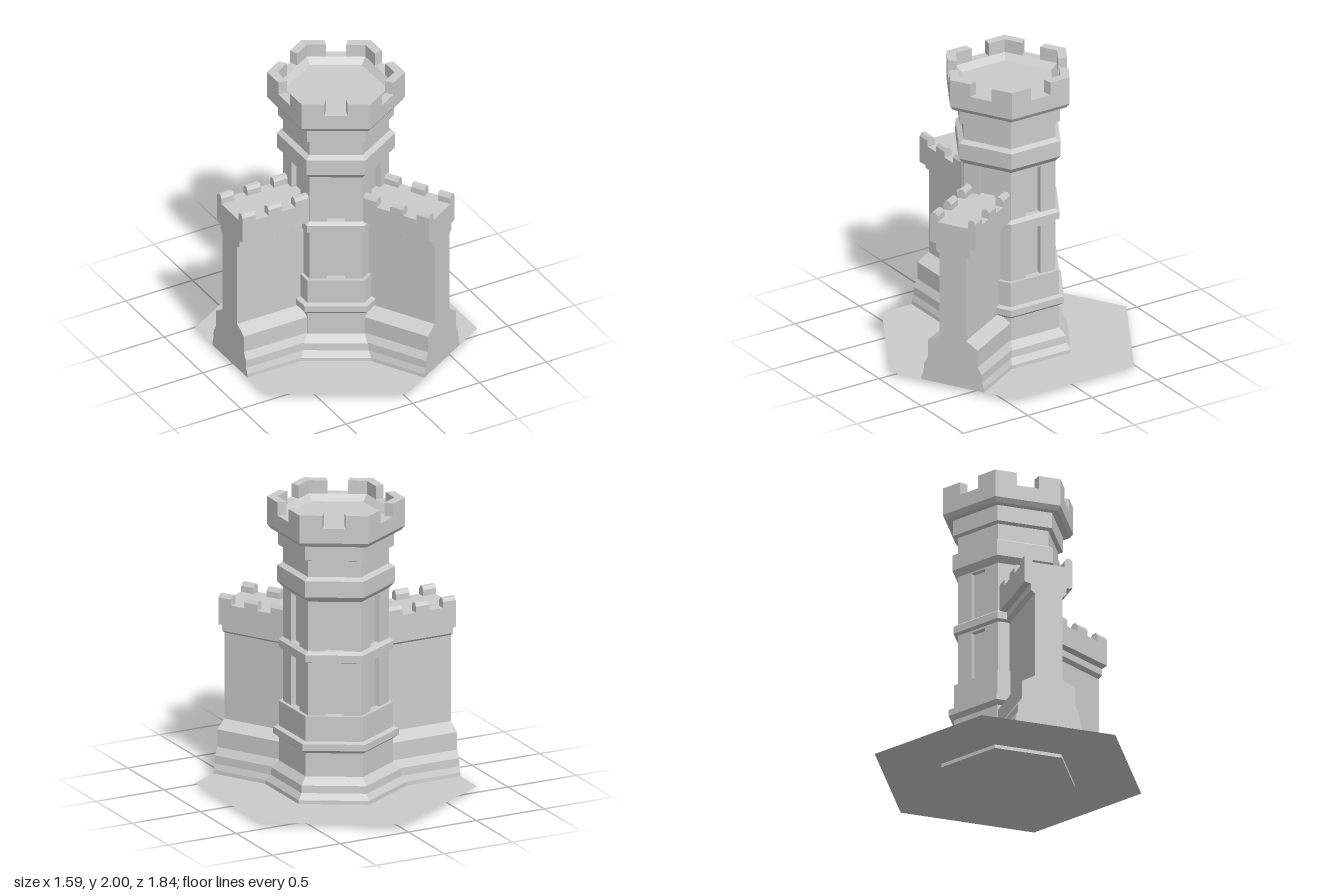
import * as THREE from 'three';

const stone = new THREE.MeshStandardMaterial({ color: 0xcccccc, flatShading: true });
const sheet = new THREE.MeshStandardMaterial({ color: 0xcccccc, flatShading: true, side: THREE.DoubleSide });
const COS30 = Math.cos(Math.PI / 6);

function add(parent, name, geometry, material = stone) {
  const mesh = new THREE.Mesh(geometry, material);
  mesh.name = name;
  parent.add(mesh);
  return mesh;
}

function extrude(points, depth) {
  const shape = new THREE.Shape(points.map(([x, y]) => new THREE.Vector2(x, y)));
  return new THREE.ExtrudeGeometry(shape, { depth, bevelEnabled: false });
}

// Block wrapping one hexagon corner, stopping at the opening in each face.
// outer, inner: corner radii; gapOuter, gapInner: half widths of the opening
function cornerBlock(outer, inner, gapOuter, gapInner, y0, y1) {
  const onFace = (radius, gap, side) => [
    side * (radius * COS30 * 0.5 - gap * COS30),
    radius * COS30 * COS30 + gap * 0.5,
  ];
  return extrude([
    onFace(outer, gapOuter, 1), [0, outer], onFace(outer, gapOuter, -1),
    onFace(inner, gapInner, -1), [0, inner], onFace(inner, gapInner, 1),
  ], y1 - y0).rotateX(-Math.PI / 2).translate(0, y0, 0);
}

function createTower() {
  const tower = new THREE.Group();
  tower.name = 'tower';
  const shaft = 0.345, core = 0.305;

  // Six-sided body: plinth, shaft with mouldings, crown and roof floor
  const profile = [
    [0, 0], [0.46, 0], [0.457, 0.05], [0.424, 0.09], [0.42, 0.14], [0.372, 0.19],
    [0.372, 0.35], [0.408, 0.375], [0.408, 0.42], [0.372, 0.43], [0.372, 0.6],
    [core, 0.6], [core, 0.945], [shaft, 0.945], [shaft, 0.96],
    [0.375, 0.97], [0.375, 1.02], [shaft, 1.04], [core, 1.04],
    [core, 1.37], [shaft, 1.37], [shaft, 1.38], [0.383, 1.42], [0.383, 1.53],
    [shaft, 1.55], [shaft, 1.66], [0.377, 1.67], [0.377, 1.78],
    [0.425, 1.78], [0.449, 1.81], [0.449, 1.91], [0.38, 1.91], [0.335, 1.87], [0, 1.87],
  ].map(([r, y]) => new THREE.Vector2(r, y));
  add(tower, 'towerBody', new THREE.LatheGeometry(profile, 6));

  // Corner piers between the recessed panels, and merlons on the crown
  const lowerPier = cornerBlock(shaft, core - 0.02, 0.058, 0.058, 0.6, 0.95);
  const upperPier = cornerBlock(shaft, core - 0.02, 0.058, 0.058, 1.03, 1.375);
  const merlon = cornerBlock(0.449, 0.38, 0.076, 0.066, 1.91, 2);
  for (let i = 0; i < 6; i++) {
    const corner = new THREE.Group();
    corner.name = 'towerCorner';
    corner.rotation.y = i * Math.PI / 3;
    add(corner, 'lowerPier', lowerPier);
    add(corner, 'upperPier', upperPier);
    add(corner, 'towerMerlon', merlon);
    tower.add(corner);
  }
  return tower;
}

// Wall running from the tower out along local +z
function createWall(name, angle) {
  const wall = new THREE.Group();
  wall.name = name;
  const start = 0.25, end = 0.795;
  const half = [
    [0.228, 0.025], [0.226, 0.05], [0.212, 0.09], [0.21, 0.145], [0.182, 0.195],
    [0.182, 0.315], [0.095, 0.365], [0.095, 0.955], [0.122, 0.975],
    [0.122, 1.02], [0.165, 1.03], [0.165, 1.175],
  ];
  const section = [...half, ...half.map(([w, y]) => [-w, y]).reverse()];
  add(wall, 'wallBody', extrude(section, end - start).translate(0, 0, start));

  // Chamfered merlons along both edges of the walkway
  for (const side of [-1, 1]) {
    for (const [from, to] of [[0.28, 0.4], [0.5, 0.6], [0.7, end]]) {
      const outline = [
        [0.165, 1.17], [0.165, 1.215], [0.15, 1.237],
        [0.125, 1.237], [0.11, 1.215], [0.11, 1.17],
      ].map(([w, y]) => [side * w, y]);
      add(wall, 'wallMerlon', extrude(outline, to - from).translate(0, 0, from));
    }
  }
  wall.rotation.y = angle;
  return wall;
}

export function createModel() {
  const model = new THREE.Group();
  model.name = 'castleTower';
  model.add(createTower());
  model.add(createWall('rightWall', -Math.PI / 2));
  model.add(createWall('frontWall', Math.PI / 6));

  // Thin hexagonal ground sheet
  const ground = new THREE.CircleGeometry(0.918, 6, Math.PI / 2);
  add(model, 'ground', ground.rotateX(-Math.PI / 2).translate(0, 0.025, 0), sheet);
  return model;
}
